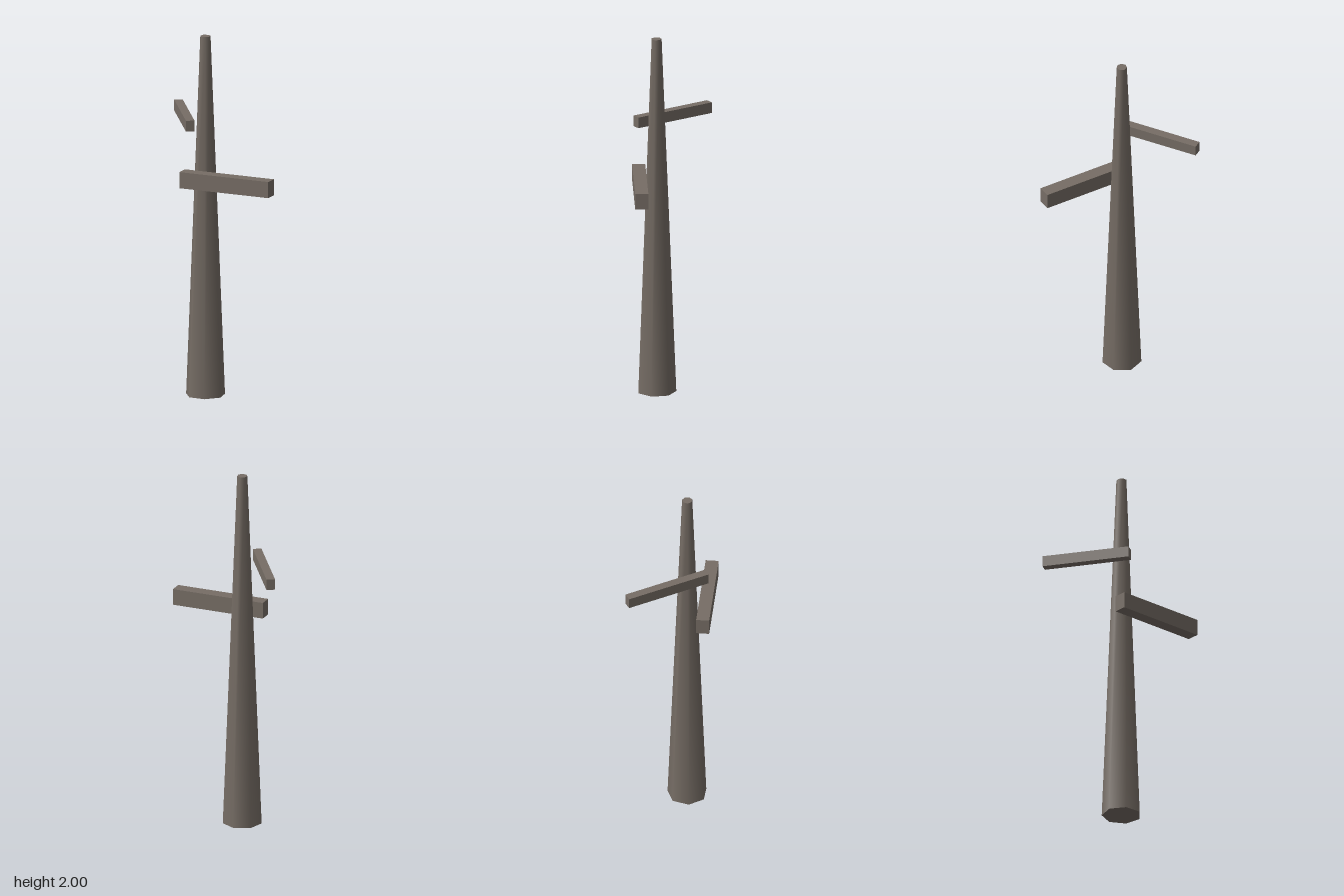
import * as THREE from 'three';

export function createModel() {
  const model = new THREE.Group();
  const wood = new THREE.MeshStandardMaterial({ color: 0x766d65 });
  wood.name = 'weatheredWood';

  // Tapered seven-sided post with smooth sides
  const post = new THREE.Mesh(new THREE.CylinderGeometry(0.0285, 0.108, 2, 7), wood);
  post.name = 'post';
  post.position.set(-0.015, 1, 0);
  model.add(post);

  // Signboards, angled back from the front of the post
  const addBoard = (name, size, position, turn) => {
    const board = new THREE.Mesh(new THREE.BoxGeometry(...size), wood);
    board.name = name;
    board.position.set(...position);
    board.rotation.y = turn;
    model.add(board);
  };
  addBoard('lowerBoard', [0.532, 0.09, 0.071], [0.179, 1.214, 0], 0.5);
  addBoard('upperBoard', [0.483, 0.06, 0.047], [-0.209, 1.517, -0.001], -0.5);

  return model;
}
